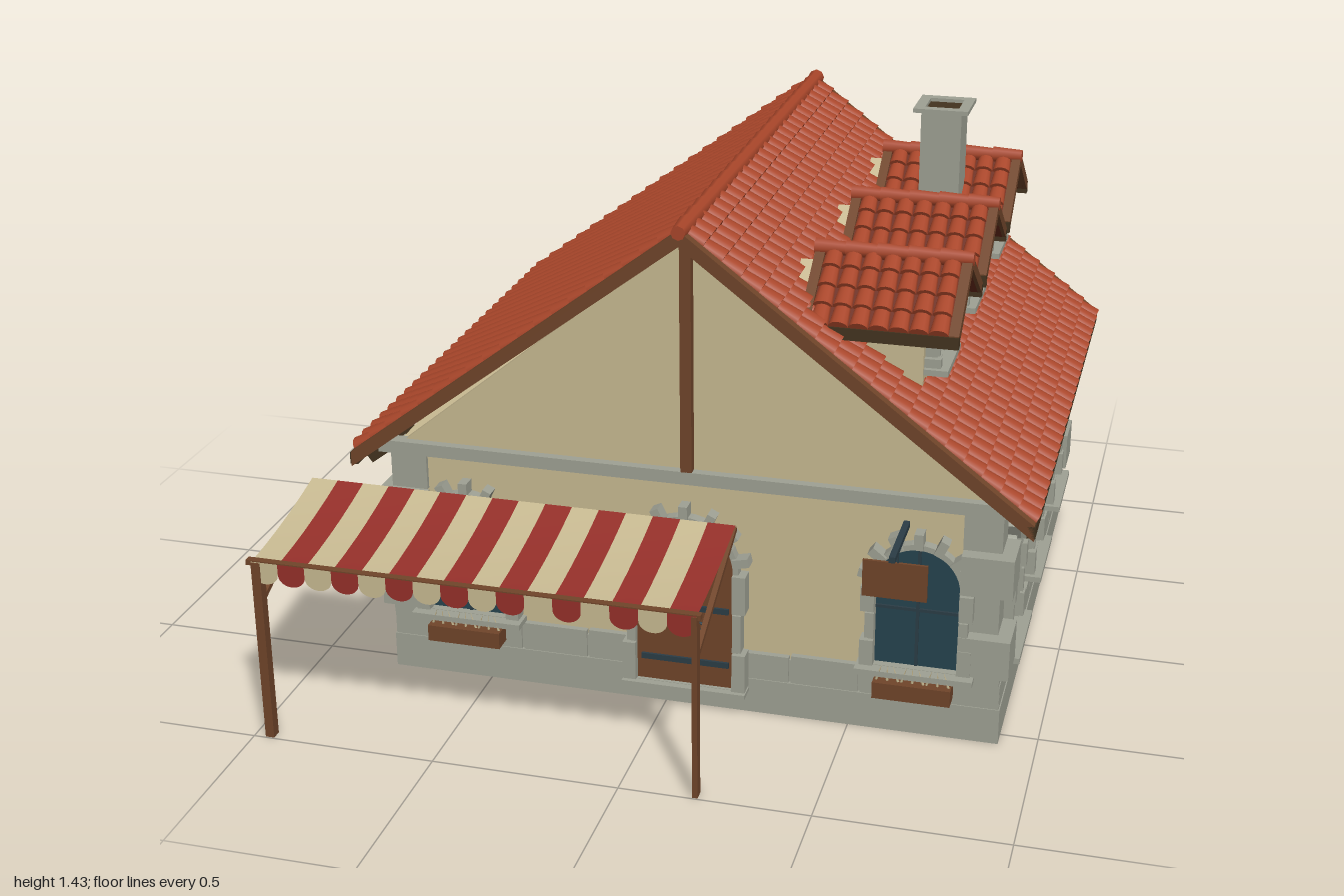
import * as THREE from 'three';
import { mergeGeometries } from 'three/addons/utils/BufferGeometryUtils.js';

const mat = (name, color, side = THREE.FrontSide) => {
  const m = new THREE.MeshStandardMaterial({ color, side });
  m.name = name;
  return m;
};
const plaster = mat('cream plaster', 0xc8ba92, THREE.DoubleSide);
const stone = mat('grey stone', 0x9fa194);
const wood = mat('brown wood', 0x70452a);
const darkWood = mat('dark wood', 0x43331f);
const tile = mat('terracotta tile', 0xa9462a);
const tileGap = mat('shaded terracotta', 0x6c2b1b);
const glass = mat('blue glass', 0x26434e);
const iron = mat('dark iron', 0x2b3d46);
const red = mat('red cloth', 0x95302a, THREE.DoubleSide);

const CX = 0.06, CZ = -0.185;        // centre of the house
const HX = 0.81, HZ = 0.715;         // half size of the walls
const WIN_Z = [0.295, -0.185, -0.665];

function add(parent, name, geo, material, x = 0, y = 0, z = 0) {
  const m = new THREE.Mesh(geo, material);
  m.name = name;
  m.position.set(x, y, z);
  parent.add(m);
  return m;
}
function box(parent, name, material, w, h, d, x, y, z) {
  return add(parent, name, new THREE.BoxGeometry(w, h, d), material, x, y, z);
}
const group = (parent, name) => {
  const g = new THREE.Group();
  g.name = name;
  parent.add(g);
  return g;
};
const extrude = (shape, depth) =>
  new THREE.ExtrudeGeometry(shape, { depth, bevelEnabled: false, curveSegments: 10 });
const poly = pts => new THREE.Shape(pts.map(p => new THREE.Vector2(...p)));

function archShape(w, h, y0 = 0) {
  const r = w / 2, s = new THREE.Shape();
  s.moveTo(-r, y0);
  s.lineTo(r, y0);
  s.lineTo(r, h - r);
  s.absarc(0, h - r, r, 0, Math.PI);
  return s;
}

// Stone surround of an arched opening, facing +z
function surround(g, w, h, k) {
  const r = w / 2, hr = h - r;
  const ring = archShape(w + 0.03 * k, h + 0.015 * k);
  ring.holes.push(archShape(w, h, 0.001));
  add(g, 'archRing', extrude(ring, 0.03), stone);
  for (let i = 0; i < 7; i++) {
    const a = Math.PI * (i + 0.5) / 7, rr = r + 0.026 * k;
    const b = box(g, 'archStone', stone, 0.024 * k, 0.044 * k, 0.04,
      Math.cos(a) * rr, hr + Math.sin(a) * rr, 0.02);
    b.rotation.z = a - Math.PI / 2;
  }
  for (const s of [-1, 1]) for (let i = 0; i < 3; i++) {
    const jw = (i % 2 ? 0.024 : 0.036) * k;
    box(g, 'jambStone', stone, jw, hr / 3 - 0.006, i % 2 ? 0.036 : 0.045,
      s * (r + jw / 2), hr * (i + 0.5) / 3, 0.02);
  }
}

function makeWindow(parent, x, y, z, turn, w, h, k = 1) {
  const g = group(parent, 'window');
  g.position.set(x, y, z);
  g.rotation.y = turn;
  add(g, 'pane', extrude(archShape(w, h), 0.008), glass);
  box(g, 'uprightBar', iron, 0.008, h - 0.005, 0.008, 0, h / 2, 0.01);
  box(g, 'crossBar', iron, w, 0.008, 0.008, 0, h * 0.48, 0.01);
  surround(g, w, h, k);
  box(g, 'sill', stone, w + 0.09 * k, 0.016, 0.065, 0, -0.008, 0.03);
  return g;
}

// Rows of tapered half-round tiles on the XY plane: y runs up the slope, z is outward
function tileField(width, length, cols, rows) {
  const pitch = width / cols, step = length / rows, parts = [];
  for (let c = 0; c < cols; c++) for (let r = 0; r < rows; r++) {
    const t = new THREE.CylinderGeometry(pitch * 0.4, pitch * 0.5, step * 1.15, 6, 1, false, -Math.PI / 2, Math.PI);
    t.scale(1, 1, 0.75);
    t.rotateX(-0.12);
    t.translate((c + 0.5) * pitch - width / 2, -(r + 0.5) * step, 0.004);
    parts.push(t);
  }
  return mergeGeometries(parts);
}

// Gable roof with its ridge along z at the origin
function gableRoof(parent, half, drop, length, cols, rows, t) {
  const g = group(parent, 'roof');
  const chevron = (top, th, hw) => poly([[0, top], [hw, top - drop * hw / half], [hw, top - th - drop * hw / half],
    [0, top - th], [-hw, top - th - drop * hw / half], [-hw, top - drop * hw / half]]);
  const slab = extrude(chevron(0, t, half), length - 0.02);
  add(g, 'roofSlab', slab, tileGap, 0, 0, 0.01 - length / 2);
  for (const s of [-1, 1])
    add(g, 'vergeBoard', extrude(chevron(0.012, t + 0.012, half + 0.008), 0.026), wood, 0, 0, s * (length / 2 - 0.013) - 0.013);
  const len = Math.hypot(half, drop), c = half / len, sn = drop / len;
  const field = tileField(length - 0.05, len, cols, rows);
  field.applyMatrix4(new THREE.Matrix4().makeBasis(
    new THREE.Vector3(0, 0, -1), new THREE.Vector3(-c, sn, 0), new THREE.Vector3(sn, c, 0)));
  for (const s of [0, 1]) {
    add(g, 'tiles', field, tile).rotation.y = s * Math.PI;
    box(g, 'eaveBoard', darkWood, 0.022, 0.032, length, (s ? -1 : 1) * half, -drop - 0.012, 0);
  }
  const n = Math.round(length / 0.08), seg = length / n;
  for (let i = 0; i < n; i++) {
    const r = add(g, 'ridgeTile', new THREE.CylinderGeometry(0.019, 0.024, seg * 1.05, 8), tile,
      0, 0.006, (i + 0.5) * seg - length / 2);
    r.rotation.x = Math.PI / 2;
  }
  return g;
}

function buildWalls(house) {
  box(house, 'plinth', stone, 1.68, 0.1, 1.47, CX, 0.05, CZ);
  box(house, 'plinthCore', stone, 1.645, 0.065, 1.45, CX, 0.1325, CZ);
  box(house, 'walls', plaster, 2 * HX, 0.52, 2 * HZ, CX, 0.41, CZ);
  // Upper plinth course of uneven blocks
  let seed = 7;
  const rnd = () => (seed = (seed * 16807) % 2147483647) / 2147483647;
  for (const s of [-1, 1]) for (let i = 0; i < 9; i++) {
    const h = 0.068 + 0.018 * rnd();
    box(house, 'plinthBlock', stone, 0.18, h, 0.04, CX - 0.747 + i * 0.1867, 0.1 + h / 2, CZ + s * 0.712);
    box(house, 'plinthBlock', stone, 0.04, h, 0.155, CX + s * 0.817, 0.1 + h / 2, CZ - 0.651 + i * 0.1627);
  }
  // Corner stones
  for (const sx of [-1, 1]) for (const sz of [-1, 1]) for (let i = 0; i < 4; i++) {
    const out = i % 2 ? 0.015 : 0.05, w = 0.085 + out;
    box(house, 'cornerStone', stone, w, 0.11, w,
      CX + sx * (HX + out - w / 2), 0.255 + i * 0.116, CZ + sz * (HZ + out * 0.8 - w / 2));
    if (i === 0) box(house, 'cornerFoot', stone, 0.1, 0.03, 0.1, CX + sx * 0.785, 0.185, CZ + sz * 0.69);
  }
  // Gable ends
  const gable = extrude(poly([[-0.79, 0.68], [0.79, 0.68], [0, 1.325]]), 0.03);
  for (const s of [-1, 1]) {
    add(house, 'gable', gable, plaster, CX, 0, CZ + s * (HZ - 0.015) - 0.015);
    box(house, 'gableBand', stone, 1.71, 0.035, 0.04, CX, 0.668, CZ + s * (HZ + 0.005));
    box(house, 'gablePost', wood, 0.03, 0.62, 0.03, CX, 0.995, CZ + s * (HZ + 0.01));
  }
  // Rafter tails under the eaves
  for (const s of [-1, 1]) for (let i = 0; i < 13; i++)
    box(house, 'rafterTail', darkWood, 0.09, 0.025, 0.02, CX + s * 0.85, 0.648, CZ - 0.72 + i * 0.12).rotation.z = -s * 0.65;
}

function buildDoor(house) {
  const g = group(house, 'door');
  g.position.set(CX, 0.075, CZ + HZ + 0.022);
  add(g, 'doorLeaf', extrude(archShape(0.265, 0.48), 0.02), wood);
  surround(g, 0.265, 0.48, 1);
  for (const y of [0.07, 0.23]) box(g, 'hinge', iron, 0.24, 0.016, 0.008, 0, y, 0.023);
  add(g, 'doorRing', new THREE.TorusGeometry(0.011, 0.004, 6, 12), iron, 0.04, 0.178, 0.024);
  box(g, 'doorStep', stone, 0.34, 0.012, 0.06, 0, -0.006, 0.02);
}

function buildAwning(house) {
  const g = group(house, 'awning'), n = 16, x0 = -0.97, sw = 1.175 / n;
  const cloth = { 0: [], 1: [] };
  for (let i = 0; i < n; i++) {
    const x = x0 + (i + 0.5) * sw;
    const top = new THREE.PlaneGeometry(sw, 1, 1, 5), p = top.attributes.position;
    for (let j = 0; j < p.count; j++) {
      const t = 0.5 - p.getY(j);       // 0 at the wall, 1 at the front
      p.setXYZ(j, x + p.getX(j), 0.575 - 0.065 * t - 0.035 * t * (1 - t), 0.605 + 0.375 * t);
    }
    top.computeVertexNormals();
    const flap = new THREE.Shape();
    flap.moveTo(sw / 2, 0.03);
    flap.lineTo(-sw / 2, 0.03);
    flap.absellipse(0, 0, sw / 2, 0.03, Math.PI, 2 * Math.PI);
    const scallop = new THREE.ShapeGeometry(flap, 6);
    scallop.translate(x, 0.482, 0.993);
    cloth[i % 2].push(top, scallop);
  }
  add(g, 'creamStripes', mergeGeometries(cloth[0]), plaster);
  add(g, 'redStripes', mergeGeometries(cloth[1]), red);
  box(g, 'frontRail', wood, 1.2, 0.014, 0.02, -0.385, 0.507, 0.981);
  for (const [x, w] of [[-0.957, 0.024], [0.2, 0.014]]) {
    box(g, 'post', wood, w, 0.51, 0.028, x, 0.255, 0.982);
    box(g, 'brace', wood, 0.014, 0.014, 0.42, x, 0.478, 0.79).rotation.x = 0.42;
  }
}

function buildDormer(house, z) {
  const g = group(house, 'dormer');
  const body = extrude(poly([[-0.115, 0.93], [0.115, 0.93], [0.115, 1.13], [0, 1.205], [-0.115, 1.13]]), 0.345);
  const b = add(g, 'dormerWalls', body, plaster, 0.3, 0, z);
  b.rotation.y = Math.PI / 2;
  makeWindow(g, 0.645, 0.972, z, Math.PI / 2, 0.15, 0.165, 0.72);
  const r = gableRoof(g, 0.2, 0.135, 0.405, 7, 4, 0.022);
  r.position.set(0.5425, 1.235, z);
  r.rotation.y = Math.PI / 2;
}

function buildChimney(house) {
  const g = group(house, 'chimney');
  box(g, 'shaft', stone, 0.115, 0.42, 0.12, 0.538, 1.2, -0.505);
  const rim = poly([[-0.078, -0.08], [0.078, -0.08], [0.078, 0.08], [-0.078, 0.08]]);
  rim.holes.push(poly([[-0.048, -0.05], [-0.048, 0.05], [0.048, 0.05], [0.048, -0.05]]));
  add(g, 'rim', extrude(rim, 0.012), stone, 0.538, 1.415, -0.505).rotation.x = -Math.PI / 2;
  box(g, 'flue', darkWood, 0.096, 0.006, 0.1, 0.538, 1.414, -0.505);
}

export function createModel() {
  const house = new THREE.Group();
  house.name = 'house';
  buildWalls(house);
  buildDoor(house);

  const roof = gableRoof(house, 0.9, 0.685, 1.61, 26, 19, 0.03);
  roof.position.set(CX, 1.348, -0.19);

  // Windows on all four sides
  const front = CZ + HZ, back = CZ - HZ;
  for (const s of [-1, 1]) {
    const x = CX + s * 0.615;
    makeWindow(house, x, 0.195, front, 0, 0.22, 0.345);
    const f = group(house, 'flowerBox');
    box(f, 'planter', wood, 0.205, 0.046, 0.055, x, 0.148, 0.583);
    for (let i = 0; i < 9; i++)
      add(f, 'stem', new THREE.ConeGeometry(0.004, 0.05, 4), plaster, x - 0.088 + i * 0.022, 0.192, 0.59).rotation.z = (i % 3 - 1) * 0.3;
    for (const o of [0.205, 0.615]) makeWindow(house, CX + s * o, 0.195, back, Math.PI, 0.22, 0.345);
    for (const z of WIN_Z) makeWindow(house, CX + s * HX, 0.195, z, s * Math.PI / 2, 0.19, 0.32);
  }

  for (const z of WIN_Z) buildDormer(house, z);
  buildChimney(house);
  buildAwning(house);

  // Hanging sign
  const sign = group(house, 'sign');
  box(sign, 'signBar', iron, 0.016, 0.016, 0.22, 0.637, 0.598, 0.635);
  box(sign, 'signBoard', wood, 0.165, 0.1, 0.008, 0.637, 0.515, 0.69);
  for (const s of [-1, 1]) box(sign, 'signHook', iron, 0.004, 0.04, 0.004, 0.637 + s * 0.006, 0.58, 0.69);
  return house;
}
